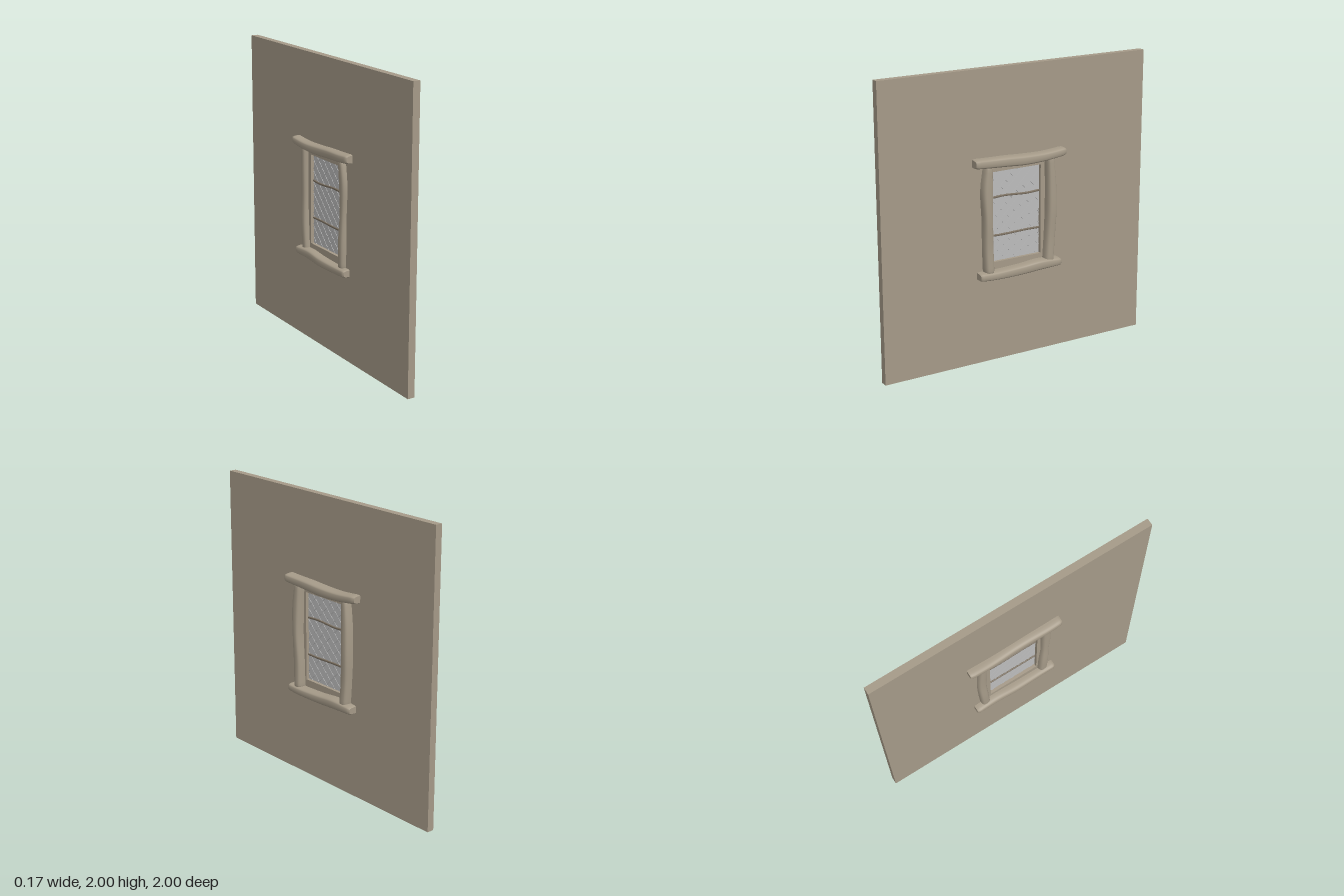
import * as THREE from 'three';

const plaster = new THREE.MeshStandardMaterial({ name: 'plaster', color: 0xa59a88 });
const leadBar = new THREE.MeshStandardMaterial({ name: 'window bar', color: 0x7a6f60 });
const glass = new THREE.MeshStandardMaterial({ name: 'glass', color: 0xbcbcbc });

// Window opening: across, up
const L = -0.187, R = 0.18, B = 0.695, T = 1.313;

function mesh(name, geometry, material) {
  const m = new THREE.Mesh(geometry, material);
  m.name = name;
  return m;
}

// Hand-hewn beam: stations are [position along, low edge, high edge, depth shift]
function beam(stations, back, front, vertical, power) {
  const lows = new THREE.CatmullRomCurve3(stations.map(([s, a]) => new THREE.Vector3(s, a, 0)));
  const highs = new THREE.CatmullRomCurve3(stations.map(([s, , b, d]) => new THREE.Vector3(s, b, d)));
  const sides = 24, steps = 28, bevel = 0.035;
  // Each ring: [curve parameter, scale]; the doubled rings crease the sawn ends
  const rings = [[0, 0], [0, 0.8], [0, 0.8], [bevel * 0.4, 0.93]];
  for (let i = 0; i <= steps; i++) rings.push([bevel + (1 - 2 * bevel) * i / steps, 1]);
  rings.push([1 - bevel * 0.4, 0.93], [1, 0.8], [1, 0.8], [1, 0]);

  const pos = [], index = [];
  const round = (v) => Math.sign(v) * Math.pow(Math.abs(v), power);
  rings.forEach(([t, k], i) => {
    const lo = lows.getPoint(t), hi = highs.getPoint(t);
    const mid = (lo.y + hi.y) / 2, half = (hi.y - lo.y) / 2;
    const depthMid = (back + front) / 2 + hi.z, depthHalf = (front - back) / 2;
    const kd = 1 - (1 - k) * (k > 0 ? 0.5 : 1);
    for (let j = 0; j < sides; j++) {
      const a = j / sides * Math.PI * 2;
      const v = mid + half * k * round(Math.cos(a));
      const w = depthMid + depthHalf * kd * round(Math.sin(a));
      pos.push(...(vertical ? [v, lo.x, w] : [lo.x, v, w]));
      if (i === rings.length - 1) continue;
      const p = i * sides + j, q = i * sides + (j + 1) % sides;
      const r = p + sides, s = q + sides;
      index.push(...(vertical ? [p, r, q, q, r, s] : [p, q, r, q, s, r]));
    }
  });
  const g = new THREE.BufferGeometry();
  g.setAttribute('position', new THREE.Float32BufferAttribute(pos, 3));
  g.setIndex(index);
  g.computeVertexNormals();
  return g;
}

export function createModel() {
  const model = new THREE.Group();
  model.name = 'windowWall';
  // Built facing +z, then turned to face +x
  const body = new THREE.Group();
  body.name = 'wallAssembly';
  body.rotation.y = Math.PI / 2;
  model.add(body);

  // Wall slab with the window opening
  const slab = new THREE.Shape([[-1, 0], [1, 0], [1, 2], [-1, 2]].map((p) => new THREE.Vector2(...p)));
  slab.holes.push(new THREE.Path([[L, B], [L, T], [R, T], [R, B]].map((p) => new THREE.Vector2(...p))));
  const wall = mesh('wall', new THREE.ExtrudeGeometry(slab, { depth: 0.05, bevelEnabled: false }), plaster);
  wall.position.z = -0.033;
  body.add(wall);

  // Lintel, sill and posts
  body.add(mesh('lintel', beam([[-0.342, 1.36, 1.422, 0], [-0.24, 1.352, 1.418, -0.002], [-0.1, 1.345, 1.415, 0.002],
    [0.02, 1.338, 1.409, 0.003], [0.18, 1.342, 1.406, -0.002], [0.348, 1.361, 1.419, -0.003]], -0.086, 0.082, false, 0.5), plaster));
  body.add(mesh('sill', beam([[-0.312, 0.592, 0.648, 0], [-0.2, 0.585, 0.645, 0.002], [0, 0.582, 0.651, -0.002],
    [0.15, 0.591, 0.663, 0.002], [0.314, 0.597, 0.653, 0]], -0.086, 0.082, false, 0.5), plaster));
  body.add(mesh('postLeft', beam([[0.63, -0.268, -0.198, 0], [0.8, -0.274, -0.202, -0.003], [1, -0.276, -0.213, 0.003],
    [1.2, -0.284, -0.209, 0], [1.37, -0.262, -0.203, -0.005]], -0.065, 0.073, true, 0.6), plaster));
  body.add(mesh('postRight', beam([[0.63, 0.193, 0.264, 0], [0.8, 0.204, 0.276, -0.003], [1, 0.212, 0.285, 0.003],
    [1.2, 0.212, 0.28, 0], [1.37, 0.208, 0.262, -0.005]], -0.065, 0.073, true, 0.6), plaster));

  // Glass pane
  const midZ = -0.008;
  const pane = mesh('glassPane', new THREE.BoxGeometry(R - L, T - B, 0.006), glass);
  pane.position.set((L + R) / 2, (B + T) / 2, midZ);
  body.add(pane);

  // Diamond lattice: diagonal ribs clipped to the opening
  const lattice = new THREE.Group();
  lattice.name = 'diamondLattice';
  body.add(lattice);
  const W = R - L, H = T - B, gap = 0.077;
  for (const dir of [1, -1]) {
    for (let c = gap / 2; c < W + H; c += gap) {
      // Rib along x + y = c in opening coordinates, mirrored for the other direction
      const x0 = Math.max(0, c - H), x1 = Math.min(W, c);
      const length = (x1 - x0) * Math.SQRT2;
      if (length < 0.01) continue;
      const rib = mesh('latticeRib', new THREE.BoxGeometry(length, 0.005, 0.011), glass);
      const mx = (x0 + x1) / 2;
      rib.position.set(dir > 0 ? L + mx : R - mx, B + c - mx, midZ);
      rib.rotation.z = -dir * Math.PI / 4;
      lattice.add(rib);
    }
  }

  // Two wavy horizontal bars
  for (const [name, y, wave] of [['upperBar', 1.133, 0.005], ['lowerBar', 0.873, -0.002]]) {
    const stations = [0, 0.25, 0.5, 0.75, 1].map((t) => {
      const v = y + wave * Math.sin(t * Math.PI * 2);
      return [L + t * W, v - 0.007, v + 0.007, 0];
    });
    body.add(mesh(name, beam(stations, midZ - 0.012, midZ + 0.012, false, 0.5), leadBar));
  }
  return model;
}
